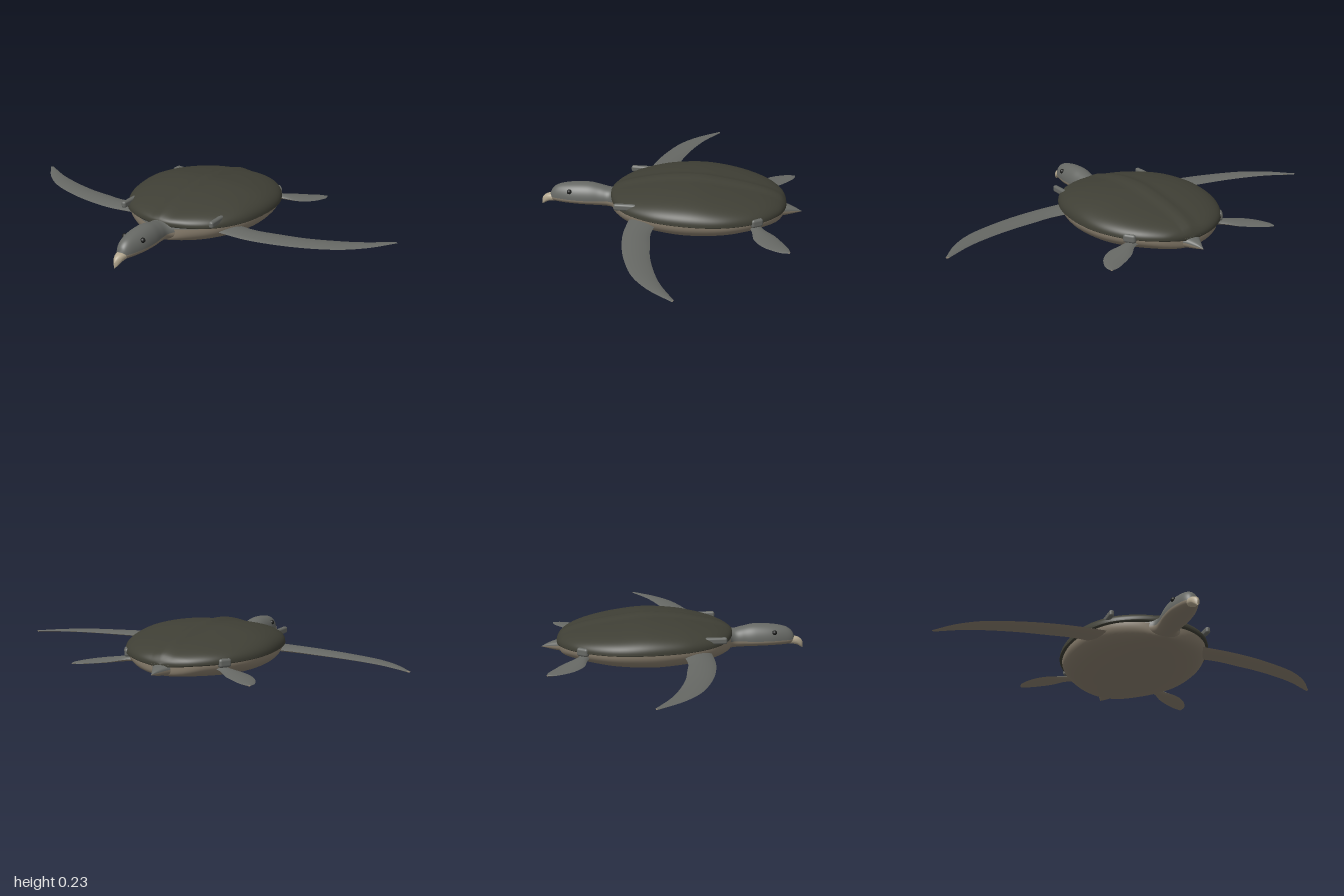
import * as THREE from 'three';
import { RoundedBoxGeometry } from 'three/addons/geometries/RoundedBoxGeometry.js';

const mat = (name, color) => {
  const m = new THREE.MeshStandardMaterial({ color, side: THREE.DoubleSide });
  m.name = name;
  return m;
};

// Smooth grid surface from a function fn(u, v) returning [x, y, z]
function grid(rows, cols, fn, flip) {
  const pos = [], idx = [];
  for (let i = 0; i <= rows; i++)
    for (let j = 0; j <= cols; j++) pos.push(...fn(i / rows, j / cols));
  for (let i = 0; i < rows; i++)
    for (let j = 0; j < cols; j++) {
      const a = i * (cols + 1) + j, b = a + cols + 1;
      if (flip) idx.push(a, a + 1, b, b, a + 1, b + 1);
      else idx.push(a, b, a + 1, b, b + 1, a + 1);
    }
  const g = new THREE.BufferGeometry();
  g.setAttribute('position', new THREE.Float32BufferAttribute(pos, 3));
  g.setIndex(idx);
  g.computeVertexNormals();
  return g;
}

const curve = (pts) => new THREE.CatmullRomCurve3(
  pts.map((p) => new THREE.Vector3(...p)), false, 'catmullrom', 0.5);

// Half a body, from stations [z, halfWidth, seamY, endY] running front to back
function halfLoft(stations, { e = 0.85, keel = 0, rows = 48, cols = 40 } = {}) {
  const rim = curve(stations.map(([z, w, s]) => [w, s, z]));
  const end = curve(stations.map(([z, w, , y]) => [w, y, z]));
  const mid = stations[Math.floor(stations.length / 2)];
  return grid(rows, cols, (u, v) => {
    const r = rim.getPoint(u), t = end.getPoint(u), a = Math.PI * v;
    const c = Math.cos(a), w = Math.max(r.x, 0);
    const x = w * Math.sign(c) * Math.abs(c) ** e;
    const lift = Math.max(Math.sin(a), 0) ** e;
    const ridge = keel * Math.max(0, 1 - Math.abs(x) / 0.05) * Math.sin(Math.PI * u);
    return [x, r.y + (t.y - r.y) * lift + ridge, r.z];
  }, mid[3] < mid[2]);
}

// One face of a flipper between a leading and a trailing edge of [x, y, z] points
function flipperFace(lead, trail, thick, up, side) {
  const a = curve(lead), b = curve(trail);
  return grid(28, 12, (u, v) => {
    const p = a.getPoint(u).lerp(b.getPoint(u), v);
    const h = thick * Math.max(Math.sin(Math.PI * v), 0) ** 0.7 * (1 - 0.8 * u);
    return [p.x * side, p.y + up * h, p.z];
  }, (up < 0) !== (side < 0));
}

export function createModel() {
  const turtle = new THREE.Group();
  turtle.name = 'seaTurtle';
  const shellMat = mat('shellOlive', 0x3f3f35);
  const skin = mat('skinGrey', 0x666864);
  const belly = mat('bellyTan', 0x897e6d);
  const horn = mat('beakCream', 0xb3a78f);
  const dark = mat('eyeDark', 0x1c1d1c);
  const add = (name, geo, m, parent = turtle) => {
    const mesh = new THREE.Mesh(geo, m);
    mesh.name = name;
    parent.add(mesh);
    return mesh;
  };

  // Shell: domed top, thin lip below its edge, and the belly plate
  const dome = [
    [0.29, 0, 0.125, 0.13], [0.28, 0.07, 0.125, 0.146], [0.25, 0.155, 0.122, 0.162],
    [0.19, 0.242, 0.12, 0.18], [0.1, 0.302, 0.118, 0.2], [0, 0.338, 0.117, 0.215],
    [-0.14, 0.355, 0.116, 0.221], [-0.27, 0.342, 0.114, 0.207], [-0.38, 0.298, 0.112, 0.19],
    [-0.47, 0.232, 0.11, 0.17], [-0.53, 0.15, 0.108, 0.147], [-0.555, 0.08, 0.105, 0.125],
    [-0.565, 0, 0.103, 0.105],
  ];
  add('carapace', halfLoft(dome, { e: 0.82, keel: 0.013, cols: 60 }), shellMat);
  add('carapaceLip', halfLoft(dome.map(([z, w, s]) => [z, w, s, s - 0.014])), shellMat);
  add('plastron', halfLoft([
    [0.29, 0, 0.1, 0.05], [0.26, 0.12, 0.11, 0.038], [0.19, 0.225, 0.115, 0.024],
    [0.1, 0.288, 0.115, 0.013], [0, 0.325, 0.115, 0.005], [-0.12, 0.342, 0.115, 0],
    [-0.27, 0.328, 0.112, 0.009], [-0.38, 0.284, 0.11, 0.023], [-0.47, 0.215, 0.108, 0.036],
    [-0.53, 0.135, 0.105, 0.046], [-0.56, 0, 0.1, 0.06],
  ]), belly);

  // Head and neck, grey above and tan below
  const head = [
    [0.6, 0.008, 0.083, 0.09, 0.07], [0.585, 0.028, 0.083, 0.122, 0.06],
    [0.55, 0.044, 0.084, 0.145, 0.056], [0.48, 0.06, 0.085, 0.158, 0.054],
    [0.4, 0.062, 0.085, 0.161, 0.052], [0.34, 0.056, 0.086, 0.15, 0.05],
    [0.29, 0.06, 0.088, 0.139, 0.047], [0.25, 0.115, 0.1, 0.145, 0.045],
    [0.18, 0.22, 0.105, 0.14, 0.045],
  ];
  const headGroup = new THREE.Group();
  headGroup.name = 'head';
  turtle.add(headGroup);
  add('headTop', halfLoft(head.map(([z, w, s, t]) => [z, w, s, t]), { e: 0.95 }), skin, headGroup);
  add('throat', halfLoft(head.map(([z, w, s, , b]) => [z, w, s, b]), { e: 0.95 }), belly, headGroup);

  // Hooked beak
  const beak = [
    [0.643, 0.002, 0.05, 0.062, 0.034], [0.632, 0.013, 0.058, 0.08, 0.04],
    [0.61, 0.022, 0.072, 0.092, 0.052], [0.575, 0.028, 0.08, 0.096, 0.058],
  ];
  for (const k of [3, 4])
    add(k === 3 ? 'beakTop' : 'beakBottom',
      halfLoft(beak.map((r) => [r[0], r[1], r[2], r[k]]), { rows: 16, cols: 16 }), horn, headGroup);

  // Short pointed tail
  const tail = [
    [-0.5, 0.09, 0.085, 0.11, 0.05], [-0.55, 0.047, 0.083, 0.105, 0.052],
    [-0.6, 0.019, 0.077, 0.09, 0.061], [-0.638, 0, 0.072, 0.072, 0.07],
  ];
  add('tailTop', halfLoft(tail.map(([z, w, s, t]) => [z, w, s, t]), { rows: 14, cols: 16 }), skin);
  add('tailUnderside', halfLoft(tail.map(([z, w, s, , b]) => [z, w, s, b]), { rows: 14, cols: 16 }), belly);

  // Flippers: leading and trailing edges on the left, mirrored to the right
  const frontLead = [[0.24, 0.088, 0.16], [0.38, 0.084, 0.163], [0.52, 0.084, 0.145],
    [0.66, 0.085, 0.108], [0.8, 0.088, 0.05], [0.91, 0.091, -0.035], [1, 0.094, -0.145]];
  const frontTrail = [[0.24, 0.088, 0.02], [0.37, 0.084, 0.037], [0.49, 0.084, 0.022],
    [0.61, 0.085, 0.003], [0.74, 0.088, -0.033], [0.86, 0.091, -0.08], [0.985, 0.094, -0.152]];
  const rearLead = [[0.2, 0.085, -0.385], [0.28, 0.08, -0.415], [0.36, 0.074, -0.432],
    [0.42, 0.07, -0.48], [0.457, 0.068, -0.55], [0.456, 0.067, -0.59]];
  const rearTrail = [[0.18, 0.085, -0.44], [0.245, 0.08, -0.465], [0.3, 0.074, -0.52],
    [0.36, 0.07, -0.56], [0.41, 0.068, -0.588], [0.448, 0.067, -0.597]];
  for (const s of [1, -1]) {
    const name = s > 0 ? 'left' : 'right';
    for (const [part, lead, trail, thick] of [
      ['FrontFlipper', frontLead, frontTrail, 0.016], ['RearFlipper', rearLead, rearTrail, 0.015]]) {
      const g = new THREE.Group();
      g.name = name + part;
      turtle.add(g);
      add('flipperTop', flipperFace(lead, trail, thick, 1, s), skin, g);
      add('flipperUnderside', flipperFace(lead, trail, thick, -1, s), belly, g);
    }
    // Small skin folds at the shoulders and hips
    add(name + 'ShoulderFold', new RoundedBoxGeometry(0.024, 0.032, 0.11, 3, 0.01), skin)
      .position.set(s * 0.244, 0.148, 0.178);
    const hip = add(name + 'HipFold', new RoundedBoxGeometry(0.03, 0.04, 0.06, 3, 0.012), skin);
    hip.position.set(s * 0.252, 0.112, -0.435);
    hip.rotation.y = s * 0.6;
    add(name + 'Eye', new THREE.SphereGeometry(0.012, 16, 12), dark, headGroup)
      .position.set(s * 0.049, 0.125, 0.492);
  }
  return turtle;
}
